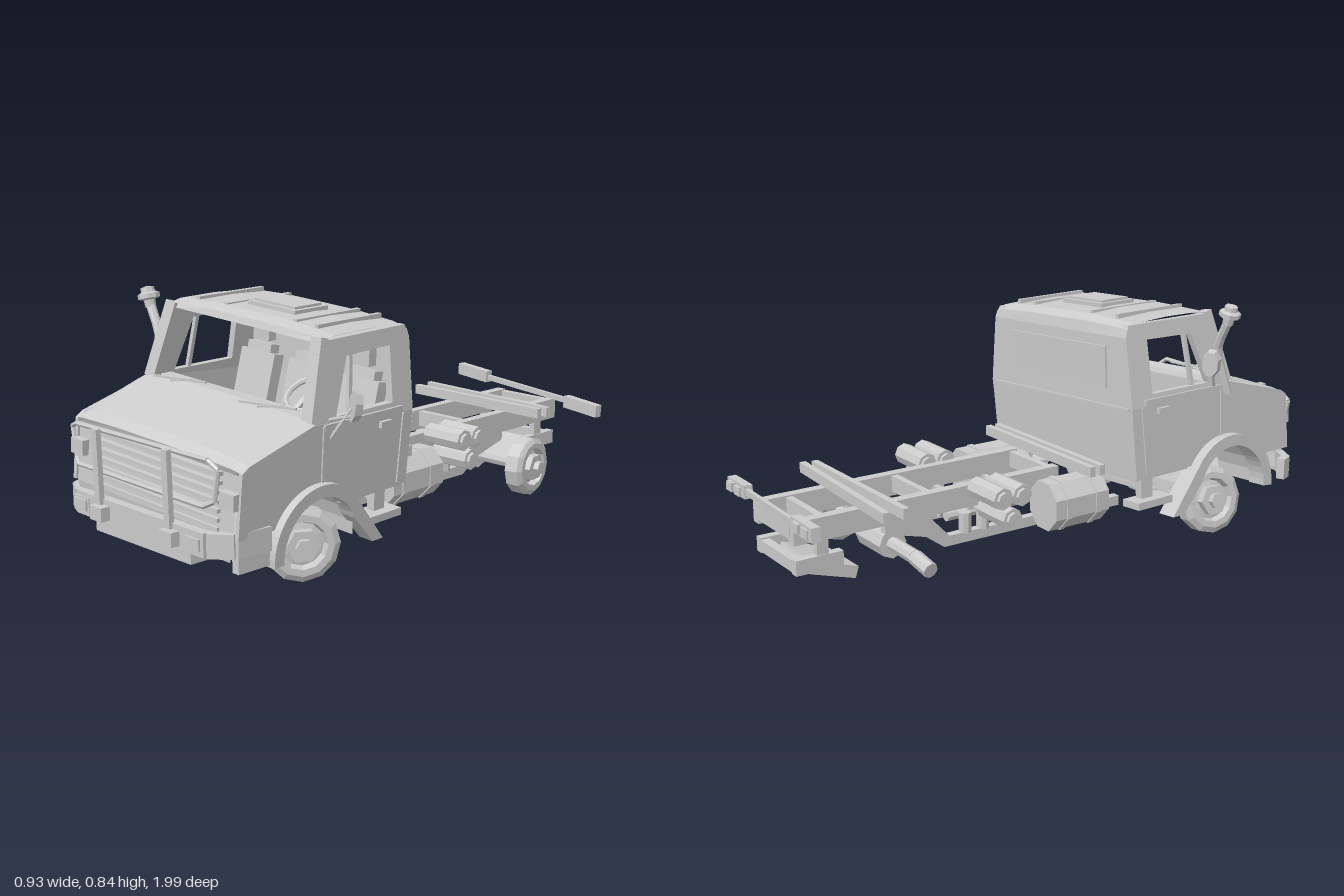
import * as THREE from 'three';

const solid = new THREE.MeshStandardMaterial({ color: 0xcccccc, flatShading: true });
const thin = new THREE.MeshStandardMaterial({ color: 0xcccccc, flatShading: true, side: THREE.DoubleSide });
const V = (x, y, z) => new THREE.Vector3(x, y, z);

// box given by its extents
function box(x0, x1, y0, y1, z0, z1) {
  return new THREE.BoxGeometry(x1 - x0, y1 - y0, z1 - z0).translate((x0 + x1) / 2, (y0 + y1) / 2, (z0 + z1) / 2);
}
// rectangular bar between two points
function beam(a, b, w, h = w) {
  const p = V(...a), q = V(...b), d = q.clone().sub(p);
  const up = Math.abs(d.y) > 0.9 * d.length() ? V(0, 0, 1) : V(0, 1, 0);
  const m = new THREE.Matrix4().lookAt(q, p, up).setPosition(p.add(q).multiplyScalar(0.5));
  return new THREE.BoxGeometry(w, h, d.length()).applyMatrix4(m);
}
// round bar between two points
function rod(a, b, r, n = 8) {
  const p = V(...a), q = V(...b), d = q.clone().sub(p);
  const turn = new THREE.Quaternion().setFromUnitVectors(V(0, 1, 0), d.clone().normalize());
  const c = p.add(q).multiplyScalar(0.5);
  return new THREE.CylinderGeometry(r, r, d.length(), n).applyQuaternion(turn).translate(c.x, c.y, c.z);
}
// sheet spanning the cab width, from sections [z, y, half width, edge drop]
function skin(sections) {
  const cols = [-1, -0.92, -0.45, 0, 0.45, 0.92, 1], pos = [], idx = [], n = cols.length;
  sections.forEach(([z, y, w, drop = 0], i) => cols.forEach((c, j) => {
    pos.push(c * w, y - drop * c ** 6, z);
    if (i && j) {
      const k = i * n + j;
      idx.push(k, k - 1, k - n, k - 1, k - n - 1, k - n);
    }
  }));
  const g = new THREE.BufferGeometry();
  g.setAttribute('position', new THREE.Float32BufferAttribute(pos, 3));
  g.setIndex(idx);
  g.computeVertexNormals();
  return g;
}
// plate drawn in (z, y), thickness running inward from x = w on side s
function sidePlate(shape, s, w, depth) {
  return new THREE.ExtrudeGeometry(shape, { depth, bevelEnabled: false, curveSegments: 10 })
    .rotateY(-Math.PI / 2).translate(s > 0 ? w : depth - w, 0, 0);
}
const polygon = pts => new THREE.Shape(pts.map(p => new THREE.Vector2(...p)));
// cab walls lean inward above the waist
const lean = (g, s) => {
  const p = g.attributes.position;
  for (let i = 0; i < p.count; i++) p.setX(i, p.getX(i) - s * Math.max(0, p.getY(i) - 0.5) * 0.13);
  return g;
};

export function createModel() {
  const model = new THREE.Group();
  const section = name => {
    const g = new THREE.Group();
    g.name = name;
    model.add(g);
    return g;
  };
  const put = (group, name, geo, mat = solid) => {
    const m = new THREE.Mesh(geo, mat);
    m.name = name;
    group.add(m);
  };

  // ---- cab: sits slightly rolled and turned on its frame, pivoting near the nose ----
  const cab = section('cab');
  const pivot = V(0, 0.3, 0.8);
  cab.rotation.set(0, 0.043, -0.06);
  cab.position.copy(pivot).sub(pivot.clone().applyEuler(cab.rotation));
  const c = (name, geo, mat) => put(cab, name, geo, mat);
  c('backAndRoof', skin([[0.185, 0.25, 0.375], [0.17, 0.5, 0.385], [0.173, 0.735, 0.356], [0.182, 0.772, 0.352, 0.01],
    [0.21, 0.792, 0.347, 0.015], [0.36, 0.799, 0.347, 0.015], [0.51, 0.797, 0.347, 0.015], [0.555, 0.784, 0.347, 0.012], [0.563, 0.762, 0.35]]), thin);
  c('hoodAndNose', skin([[0.61, 0.53, 0.385], [0.625, 0.55, 0.38, 0.015], [0.66, 0.54, 0.38, 0.015], [0.88, 0.475, 0.375, 0.02],
    [0.912, 0.452, 0.37, 0.01], [0.905, 0.43, 0.365], [0.92, 0.24, 0.36], [0.91, 0.16, 0.34]]), thin);
  c('floor', box(-0.37, 0.37, 0.25, 0.265, 0.185, 0.46));
  c('firewall', box(-0.37, 0.37, 0.3, 0.53, 0.6, 0.62));
  c('underTray', box(-0.22, 0.2, 0.13, 0.15, 0.42, 0.92));
  c('backPanel', box(-0.26, 0.26, 0.56, 0.7, 0.164, 0.171));
  c('backSeam', box(-0.37, 0.37, 0.495, 0.503, 0.163, 0.173));
  for (const x of [-0.26, -0.13, 0.18, 0.27]) c('roofRib', box(x - 0.008, x + 0.008, 0.78, 0.802, 0.22, 0.51));
  c('roofHatch', box(-0.09, 0.12, 0.785, 0.81, 0.3, 0.45));
  c('hatchLid', box(-0.075, 0.105, 0.805, 0.818, 0.315, 0.435));

  for (const s of [-1, 1]) {
    // lower wall with wheel arch
    const lower = polygon([[0.495, 0.26], [0.185, 0.26], [0.17, 0.5], [0.62, 0.53], [0.885, 0.457], [0.91, 0.44], [0.92, 0.24], [0.728, 0.24]]);
    lower.absarc(0.6, 0.15, 0.157, 0.61, Math.PI - 0.776, false);
    c('lowerSide', sidePlate(lower, s, 0.383, 0.015));
    // upper wall with door window
    const upper = polygon([[0.17, 0.5], [0.173, 0.735], [0.19, 0.775], [0.54, 0.772], [0.62, 0.53]]);
    upper.holes.push(new THREE.Path([[0.265, 0.54], [0.525, 0.54], [0.465, 0.715], [0.265, 0.72]].map(p => new THREE.Vector2(...p))));
    c('windowFrame', lean(sidePlate(upper, s, 0.385, 0.025), s));
    c('quarterWindowPost', beam([s * 0.367, 0.54, 0.455], [s * 0.346, 0.715, 0.44], 0.014));
    c('windscreenPillar', beam([s * 0.36, 0.53, 0.618], [s * 0.328, 0.778, 0.555], 0.045, 0.03));
    c('doorSill', box(s * 0.385 - 0.005, s * 0.385 + 0.005, 0.505, 0.525, 0.225, 0.58));
    c('doorSeam', beam([s * 0.384, 0.27, 0.23], [s * 0.384, 0.5, 0.215], 0.008));
    c('doorSeam', beam([s * 0.384, 0.33, 0.58], [s * 0.384, 0.52, 0.58], 0.008));
    c('doorHandle', box(s * 0.388 - 0.008, s * 0.388 + 0.008, 0.47, 0.49, 0.28, 0.33));
    c('sideLamp', box(s * 0.345 - 0.03, s * 0.345 + 0.03, 0.33, 0.38, 0.895, 0.935));

    // fender and wheel well
    const arch = new THREE.Shape();
    arch.absarc(0.6, 0.15, 0.197, -0.1, 2.4, false);
    arch.lineTo(0.315, 0.11);
    arch.lineTo(0.365, 0.11);
    arch.absarc(0.6, 0.15, 0.157, 2.75, -0.1, true);
    c('fender', sidePlate(arch, s, s > 0 ? 0.41 : 0.42, s > 0 ? 0.055 : 0.07));
    c('wheelWell', new THREE.CylinderGeometry(0.174, 0.174, 0.2, 12, 1, true, -0.1, 3.3)
      .rotateZ(Math.PI / 2).translate(s * 0.28, 0.15, 0.6), thin);
    c('step', box(s * 0.34 - 0.04, s * 0.34 + 0.04, 0.15, 0.175, 0.195, 0.35));
    c('stepBracket', box(s * 0.33 - 0.015, s * 0.33 + 0.015, 0.17, 0.26, 0.24, 0.29));

    // mirrors
    const my = s > 0 ? 0.576 : 0.615;
    c('mirror', new THREE.CylinderGeometry(0.054, 0.046, 0.025, 8).rotateY(Math.PI / 8).scale(0.62, 1, 0.95).rotateX(Math.PI / 2)
      .rotateY(s * -0.5).rotateZ(s * -0.15).translate(s * 0.427, my, 0.49));
    c('mirrorArm', rod([s * 0.38, my - 0.1, 0.55], [s * 0.422, my, 0.5], 0.005, 5));
    c('mirrorArm', rod([s * 0.375, my - 0.04, 0.56], [s * 0.42, my - 0.03, 0.5], 0.005, 5));
    c('wiper', beam([s * 0.2 - 0.1, 0.552, 0.66], [s * 0.2 + 0.1, 0.562, 0.615], 0.007));
    c('wiperArm', beam([s * 0.2 - 0.02, 0.552, 0.66], [s * 0.2 + 0.05, 0.562, 0.62], 0.006));
  }
  // interior
  for (const [x, top] of [[-0.25, 0.61], [-0.02, 0.615], [0.22, 0.61]]) {
    c('seatCushion', box(x - 0.08, x + 0.08, 0.36, 0.42, 0.25, 0.44));
    c('seatBack', beam([x, 0.4, 0.26], [x, top - 0.03, 0.22], 0.16, 0.045));
    c('seatShoulder', beam([x, top - 0.03, 0.22], [x, top, 0.215], 0.11, 0.04));
  }
  for (const x of [-0.245, 0.21]) c('headrest', box(x - 0.037, x + 0.037, 0.622, 0.682, 0.2, 0.235));
  c('dashboard', box(-0.36, 0.36, 0.46, 0.535, 0.54, 0.61));
  c('steeringWheel', new THREE.TorusGeometry(0.075, 0.009, 6, 16).rotateX(-1.0).translate(0.21, 0.565, 0.47));
  c('steeringColumn', rod([0.21, 0.5, 0.56], [0.21, 0.565, 0.47], 0.012, 6));
  // snorkel
  const path = new THREE.CatmullRomCurve3([V(-0.385, 0.49, 0.61), V(-0.38, 0.56, 0.59), V(-0.38, 0.65, 0.57), V(-0.438, 0.75, 0.56)]);
  c('snorkel', new THREE.TubeGeometry(path, 8, 0.016, 8));
  c('snorkelHead', new THREE.LatheGeometry([[0, -0.035], [0.018, -0.035], [0.02, -0.01], [0.037, -0.005], [0.037, 0.01], [0.024, 0.016], [0.022, 0.032], [0, 0.036]]
    .map(p => new THREE.Vector2(...p)), 8).rotateZ(0.3).translate(-0.447, 0.775, 0.56), thin);
  for (let i = 0; i < 7; i++) {
    const y = 0.255 + i * 0.028;
    c('grilleSlat', box(-0.26, 0.3, y - 0.006, y + 0.006, 0.895, 0.928));
  }

  // ---- front end ----
  const front = section('frontEnd');
  const edge = [[-0.415, 0.87], [-0.4, 0.91], [-0.33, 0.945], [0.3, 0.95], [0.365, 0.9], [0.375, 0.78]];
  edge.slice(1).forEach(([x, z], i) => put(front, 'bumper', beam([edge[i][0], 0.2, edge[i][1]], [x, 0.2, z], 0.03, 0.075)));
  put(front, 'lowerBumper', box(-0.26, 0.21, 0.115, 0.165, 0.88, 0.94));
  put(front, 'bumperSide', box(0.35, 0.378, 0.115, 0.165, 0.77, 0.9));
  for (const x of [-0.3, 0.255]) {
    put(front, 'headlight', box(x - 0.031, x + 0.031, 0.18, 0.217, 0.95, 0.972));
    put(front, 'headlightRim', box(x - 0.038, x + 0.038, 0.173, 0.224, 0.945, 0.965));
  }
  const loop = [[-0.375, 0.435], [-0.34, 0.45], [0.31, 0.455], [0.345, 0.43], [0.33, 0.335], [0.29, 0.315], [-0.33, 0.32], [-0.35, 0.34]];
  loop.forEach(([x, y], i) => {
    const [u, v] = loop[(i + 1) % loop.length], z = k => 0.965 - 0.25 * Math.max(0, Math.abs(k) - 0.25);
    put(front, 'bullBar', rod([x, y, z(x)], [u, v, z(u)], 0.008, 6));
  });
  for (const x of [-0.2, 0.145]) {
    put(front, 'bullBarPost', beam([x, 0.18, 0.965], [x, 0.46, 0.97], 0.026, 0.018));
    put(front, 'towHook', box(x - 0.015, x + 0.045, 0.175, 0.22, 0.955, 0.995));
  }

  // ---- chassis ----
  const chassis = section('chassis');
  const f = (name, geo) => put(chassis, name, geo);
  for (const x of [-0.147, 0.099]) {
    f('upperRail', box(x - 0.018, x + 0.018, 0.22, 0.295, -0.94, 0.06));
    const rail = polygon([[0.33, 0.1], [0.33, 0.135], [-0.38, 0.135], [-0.46, 0.22], [-0.62, 0.22], [-0.62, 0.19], [-0.47, 0.15], [-0.4, 0.1]]);
    f('lowerRail', new THREE.ExtrudeGeometry(rail, { depth: 0.03, bevelEnabled: false }).rotateY(-Math.PI / 2).translate(x + 0.015, 0, 0));
    f('rearLowerBar', box(x - 0.015, x + 0.015, 0.12, 0.17, -0.935, -0.77));
    f('hanger', box(x - 0.012, x + 0.012, 0.16, 0.23, -0.86, -0.82));
    for (const z of [-0.16, -0.24, -0.31]) f('railMount', rod([x, 0.13, z], [x, 0.2, z], 0.022));
  }
  for (const z of [0.04, -0.44, -0.83, -0.93]) f('crossMember', box(-0.14, 0.09, 0.235, 0.29, z - 0.012, z + 0.012));
  f('rearLowerCross', box(-0.15, 0.1, 0.125, 0.165, -0.935, -0.905));
  f('rearPan', beam([-0.025, 0.075, -0.71], [-0.025, 0.125, -0.87], 0.22, 0.04));
  for (const [a, b, l, r] of [[0.08, 0.08, -0.33, 0.29], [0.12, 0.12, -0.33, 0.29], [-0.64, -0.64, -0.33, 0.27], [-0.71, -0.68, -0.33, 0.28]])
    f('crossBearer', beam([l, 0.312, a], [r, 0.312, b], 0.022, 0.035));
  // rear light bar
  f('lightBar', beam([-0.39, 0.33, -0.98], [0.34, 0.29, -0.915], 0.014, 0.02));
  f('leftLight', beam([0.18, 0.297, -0.925], [0.34, 0.285, -0.91], 0.03, 0.045));
  f('rightLight', beam([-0.395, 0.335, -0.98], [-0.235, 0.325, -0.965], 0.03, 0.045));
  for (const x of [-0.35, -0.29, 0.23, 0.29]) f('lamp', box(x - 0.02, x + 0.02, x < 0 ? 0.315 : 0.275, x < 0 ? 0.345 : 0.305, x < 0 ? -0.998 : -0.945, x < 0 ? -0.965 : -0.915));
  // side tanks with straps
  for (const [x0, x1, z0, z1] of [[-0.33, -0.18, -0.07, 0.15], [0.125, 0.285, -0.095, 0.15]]) {
    const tank = (k, a, b) => new THREE.CylinderGeometry(0.1, 0.1, b - a, 8).rotateY(Math.PI / 8)
      .scale((x1 - x0) / 0.185 * k, 1, 0.88 * k).rotateX(Math.PI / 2).translate((x0 + x1) / 2, 0.203, (a + b) / 2);
    f('tank', tank(1, z0, z1));
    for (const t of [0.2, 0.75]) f('tankStrap', tank(1.05, z0 + t * (z1 - z0), z0 + t * (z1 - z0) + 0.02));
  }
  // air bottles
  for (const [x0, x1] of [[-0.35, -0.17], [0.11, 0.29]])
    for (const [z, y] of [[-0.212, 0.29], [-0.286, 0.29], [-0.25, 0.215]]) {
      f('airBottle', rod([x0 + 0.012, y, z], [x1 - 0.012, y, z], 0.037, 8));
      f('airBottleCap', rod([x0, y, z], [x1, y, z], 0.026, 8));
    }
  // valve rows between the rails
  for (const z of [-0.08, -0.28]) {
    f('valveBar', box(-0.14, 0.09, 0.2, 0.225, z - 0.01, z + 0.01));
    for (let i = 0; i < 4; i++) {
      const x = -0.1 + i * 0.05;
      f('valve', rod([x, 0.18, z - 0.075], [x, 0.18, z + 0.075], 0.019, 8));
    }
  }

  // ---- axles and wheels ----
  const running = section('runningGear');
  put(running, 'rearAxle', rod([-0.25, 0.13, -0.565], [0.25, 0.135, -0.56], 0.024, 8));
  put(running, 'bentAxleEnd', rod([-0.25, 0.13, -0.565], [-0.335, 0.11, -0.56], 0.026, 8));
  put(running, 'rearDifferential', rod([-0.11, 0.13, -0.563], [0.05, 0.13, -0.563], 0.05, 8));
  put(running, 'frontAxle', rod([-0.32, 0.09, 0.585], [0.28, 0.095, 0.585], 0.026, 8));
  put(running, 'frontDifferential', rod([-0.11, 0.095, 0.585], [0.05, 0.095, 0.585], 0.045, 8));
  const rim = [[0, -0.025], [0.07, -0.025], [0.1, -0.035], [0.118, -0.03], [0.12, 0.02], [0.1, 0.032], [0.078, 0.032],
    [0.07, 0.008], [0.05, 0.012]].map(p => new THREE.Vector2(...p));
  const wheel = (name, pos, scale, flip, yaw, camber) => {
    const g = new THREE.Group();
    g.name = name;
    put(g, 'rim', new THREE.LatheGeometry(rim, 12).rotateZ(-Math.PI / 2), thin);
    put(g, 'hub', rod([0, 0, 0], [0.04, 0, 0], 0.055, 6));
    put(g, 'hubCap', rod([0.03, 0, 0], [0.06, 0, 0], 0.028, 6));
    g.position.set(...pos);
    g.rotation.set(0, yaw + (flip ? Math.PI : 0), camber);
    g.scale.set(1, scale, scale);
    running.add(g);
  };
  wheel('leftFrontWheel', [0.305, 0.12, 0.585], 1, false, -0.55, 0);
  wheel('rightFrontWheel', [-0.35, 0.125, 0.585], 1, true, -0.12, 0.18);
  wheel('leftRearWheel', [0.285, 0.135, -0.555], 0.88, false, 0.12, 0);
  return model;
}
